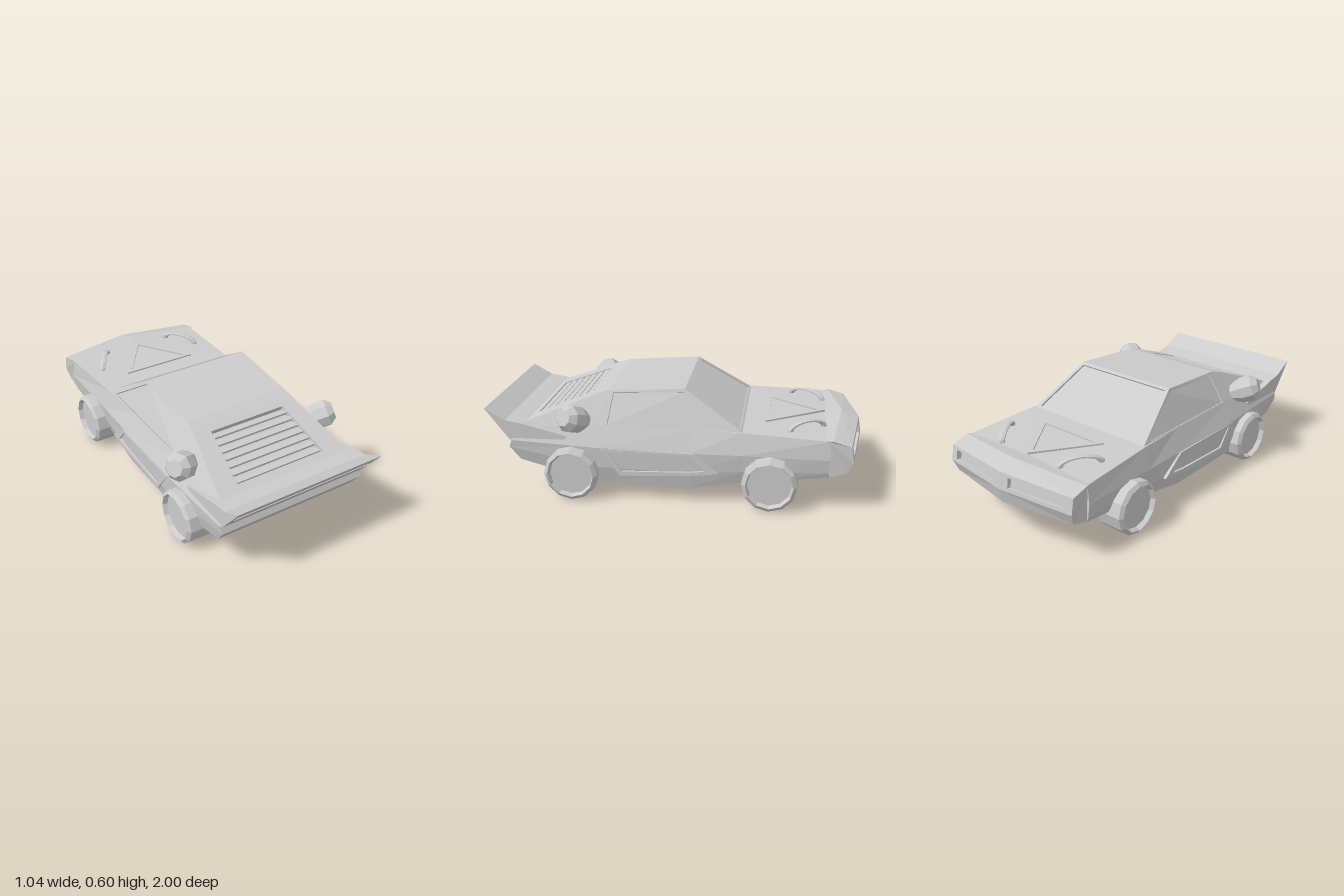
import * as THREE from 'three';

const mat = new THREE.MeshStandardMaterial({ color: 0xcccccc, flatShading: true, side: THREE.DoubleSide });
const V = (p) => new THREE.Vector3(...p);
const flip = ([x, y, z]) => [-x, y, z];

function add(parent, name, geo, pos = [0, 0, 0]) {
  const m = new THREE.Mesh(geo, mat);
  m.name = name;
  m.position.set(...pos);
  parent.add(m);
  return m;
}

// Flat faces from a list of convex polygons
function faces(polys) {
  const a = [];
  for (const p of polys)
    for (let i = 1; i < p.length - 1; i++) a.push(...p[0], ...p[i], ...p[i + 1]);
  const g = new THREE.BufferGeometry();
  g.setAttribute('position', new THREE.Float32BufferAttribute(a, 3));
  g.computeVertexNormals();
  return g;
}

// Quad (counter-clockwise from outside) with a sunken inner panel
function recess([a, b, c, d], u0, u1, v0, v1, depth) {
  const [A, B, C, D] = [a, b, c, d].map(V);
  const n = C.clone().sub(A).cross(D.clone().sub(B)).normalize();
  const at = (u, v) => A.clone().lerp(B, u).lerp(D.clone().lerp(C, u), v);
  const outer = [A, B, C, D];
  const rim = [at(u0, v0), at(u1, v0), at(u1, v1), at(u0, v1)];
  const floor = rim.map((p) => p.clone().addScaledVector(n, -depth));
  const polys = [floor];
  for (let i = 0; i < 4; i++) {
    const j = (i + 1) % 4;
    polys.push([outer[i], outer[j], rim[j], rim[i]], [rim[i], rim[j], floor[j], floor[i]]);
  }
  return faces(polys.map((p) => p.map((q) => q.toArray())));
}

// Outline in (z, y) pushed along +x, with an optional hole
function sideExtrude(pts, x0, depth, hole) {
  const conv = (l) => l.map(([z, y]) => new THREE.Vector2(-z, y));
  const s = new THREE.Shape(conv(pts));
  if (hole) s.holes.push(new THREE.Path(conv(hole)));
  return new THREE.ExtrudeGeometry(s, { depth, bevelEnabled: false }).rotateY(Math.PI / 2).translate(x0, 0, 0);
}

export function createModel() {
  const car = new THREE.Group();
  car.name = 'wedgeCar';

  // Lower body: stations from tail to nose, each bottom, sill, waist, belt
  const stations = [
    [[0.41, 0.19, 0.82], [0.425, 0.265, 0.875], [0.43, 0.305, 0.86], [0.41, 0.31, 0.84]],
    [[0.41, 0.08, 0.4], [0.435, 0.18, 0.4], [0.44, 0.29, 0.4], [0.39, 0.4, 0.4]],
    [[0.41, 0.08, -0.1], [0.43, 0.17, -0.1], [0.435, 0.285, -0.1], [0.39, 0.4, -0.1]],
    [[0.4, 0.12, -0.37], [0.42, 0.19, -0.37], [0.43, 0.285, -0.37], [0.4, 0.4, -0.37]],
    [[0.41, 0.183, -0.82], [0.42, 0.21, -0.82], [0.43, 0.285, -0.82], [0.42, 0.385, -0.82]],
  ];
  const rings = stations.map((s) => [...s, ...s.map(flip).reverse()]);
  const body = [];
  for (let i = 0; i < rings.length - 1; i++)
    for (let j = 0; j < 8; j++) {
      const k = (j + 1) % 8;
      body.push([rings[i][j], rings[i + 1][j], rings[i + 1][k], rings[i][k]]);
    }
  for (const s of [stations[0], stations[4]])
    for (let j = 0; j < 3; j++) body.push([s[j], s[j + 1], flip(s[j + 1]), flip(s[j])]);
  add(car, 'lowerBody', faces(body));

  // Windscreen and roof
  const beltF = [0.39, 0.4, -0.37], roofF = [0.31, 0.597, -0.06], roofR = [0.3, 0.568, 0.35];
  const beltR = [0.39, 0.4, 0.4], deckF = [0.31, 0.545, 0.42], deckR = [0.4, 0.37, 0.86];
  add(car, 'windscreen', recess([beltF, flip(beltF), flip(roofF), roofF], 0.03, 0.97, 0.04, 0.95, 0.01));
  add(car, 'roof', faces([
    [roofF, flip(roofF), flip(roofR), roofR],
    [roofR, flip(roofR), flip(deckF), deckF],
  ]));

  // Rear deck with louvres
  add(car, 'rearDeck', recess([flip(deckR), deckR, deckF, flip(deckF)], 0.15, 0.85, 0.25, 0.93, 0.03));
  for (let i = 0; i < 7; i++) {
    const z = 0.475 + i * 0.042;
    const slat = add(car, 'louvre', new THREE.BoxGeometry(0.44 + (z - 0.45) * 0.25, 0.012, 0.028),
      [0, 0.533 - (z - 0.42) * 0.4, z]);
    slat.rotation.x = 0.15;
  }

  // Tail spoiler and its rear strip
  add(car, 'spoiler', sideExtrude(
    [[1, 0.475], [0.89, 0.415], [0.8, 0.4], [0.55, 0.34], [0.6, 0.3], [0.87, 0.305]], -0.425, 0.85));
  const strip = add(car, 'spoilerStrip', new THREE.BoxGeometry(0.79, 0.036, 0.008), [0, 0.39, 0.935]);
  strip.rotation.x = 0.65;

  // Nose: pointed profile at the centre, swept back to the corners
  const mid = [[0, 0.397, -0.8], [0, 0.415, -0.89], [0, 0.38, -0.985], [0, 0.29, -1], [0, 0.21, -0.98], [0, 0.18, -0.8]];
  const corner = [[0.42, 0.386, -0.8], [0.43, 0.39, -0.83], [0.43, 0.365, -0.925],
    [0.43, 0.28, -0.94], [0.415, 0.215, -0.915], [0.41, 0.18, -0.8]];

  for (const side of [1, -1]) {
    const half = new THREE.Group();
    half.name = side > 0 ? 'leftSide' : 'rightSide';
    half.scale.x = side;
    car.add(half);

    // Hood half, nose half and front grille slot
    const nose = [corner, [mid[0], corner[0], [0.4, 0.401, -0.37], [0, 0.401, -0.37]]];
    for (let i = 0; i < 5; i++)
      if (i !== 2) nose.push([mid[i], mid[i + 1], corner[i + 1], corner[i]]);
    add(half, 'nose', faces(nose));
    add(half, 'grilleSlot', recess([corner[3], mid[3], mid[2], corner[2]], 0.1, 0.88, 0.2, 0.8, 0.025));

    // Side window and rear quarter
    add(half, 'sideWindow', recess([beltR, beltF, roofF, roofR], 0.07, 0.93, 0.03, 0.92, 0.012));
    add(half, 'rearQuarter', faces([
      [beltR, roofR, deckF],
      [beltR, deckF, deckR],
      [beltR, deckR, [0.43, 0.305, 0.86], [0.44, 0.29, 0.4]],
    ]));

    // Raised frame of the sill scoop
    add(half, 'sillScoop', sideExtrude(
      [[0.375, 0.285], [0.27, 0.14], [-0.1, 0.16], [-0.25, 0.18], [-0.12, 0.285]], 0.425, 0.018,
      [[0.335, 0.27], [0.26, 0.165], [-0.1, 0.18], [-0.18, 0.19], [-0.11, 0.27]]));

    // Curved hood vent
    const vent = add(half, 'hoodVent', new THREE.TorusGeometry(0.105, 0.018, 6, 10, Math.PI), [0.265, 0.393, -0.7]);
    vent.scale.y = 0.4;
    vent.rotation.y = -Math.atan2(0.2, 0.13);

    // Angled rear pod on a tapered neck
    const pod = add(half, 'rearPod', new THREE.LatheGeometry(
      [[0, -0.11], [0.045, -0.11], [0.074, -0.035], [0.074, 0.03], [0.045, 0.065], [0, 0.065]]
        .map((p) => new THREE.Vector2(...p)), 8), [0.44, 0.447, 0.52]);
    pod.quaternion.setFromUnitVectors(new THREE.Vector3(0, 1, 0), new THREE.Vector3(0.75, 0.32, 0.4).normalize());

    // Wheels with dished outer faces
    for (const [name, z] of [['rearWheel', 0.53], ['frontWheel', -0.52]]) {
      const wheel = new THREE.LatheGeometry(
        [[0, 0.335], [0.145, 0.335], [0.145, 0.475], [0.125, 0.49], [0.115, 0.465], [0, 0.465]]
          .map((p) => new THREE.Vector2(...p)), 12);
      add(half, name, wheel.rotateZ(-Math.PI / 2), [0, 0.145, z]);
    }
  }

  // Triangular hood frame
  const tri = (b, zb, za) => [[-b, -zb], [b, -zb], [0, -za]].map((p) => new THREE.Vector2(...p));
  const frame = new THREE.Shape(tri(0.22, -0.48, -0.8));
  frame.holes.push(new THREE.Path(tri(0.18, -0.5, -0.765)));
  add(car, 'hoodTriangle', new THREE.ExtrudeGeometry(frame, { depth: 0.014, bevelEnabled: false })
    .rotateX(-Math.PI / 2), [0, 0.394, 0]);

  return car;
}
